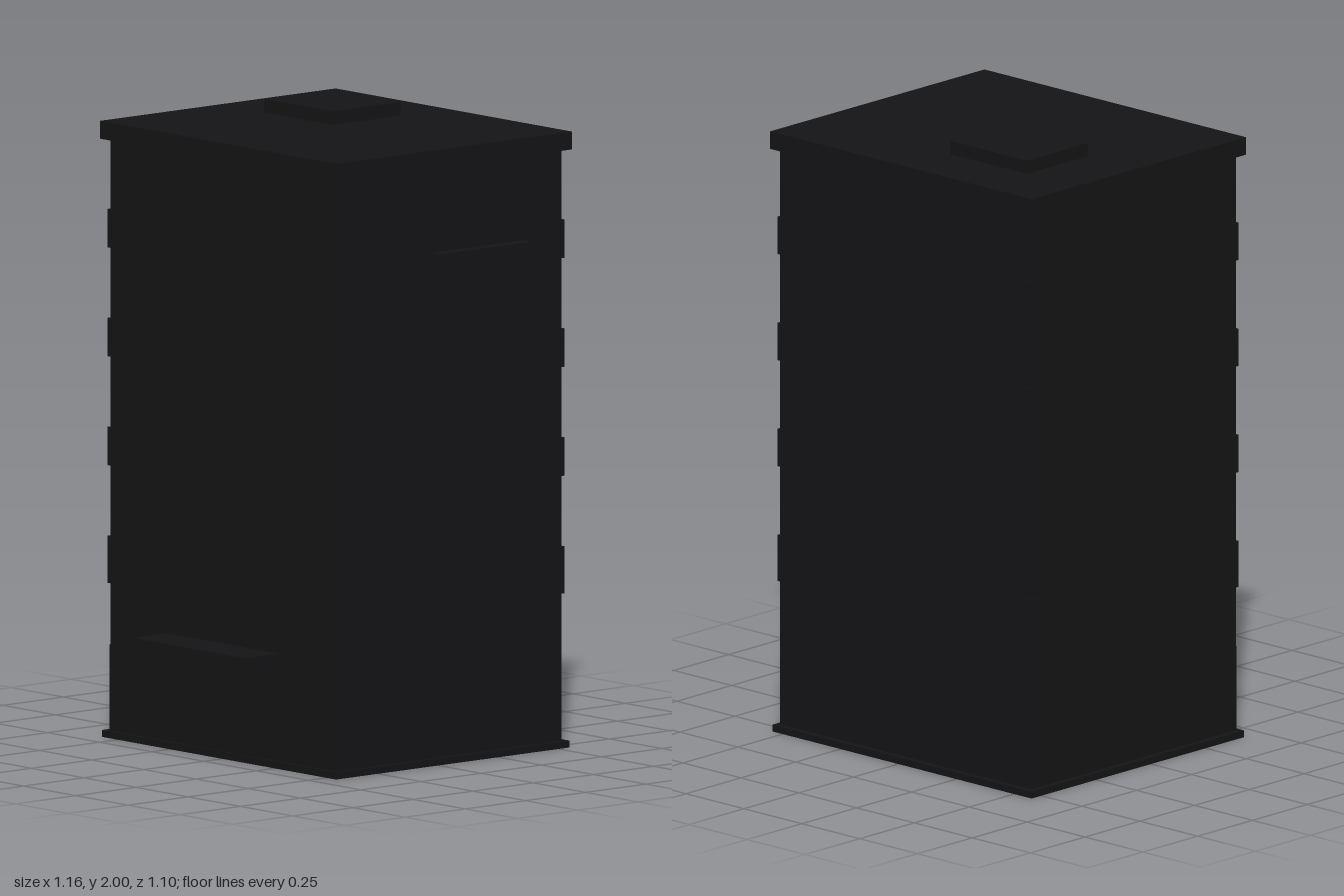
import * as THREE from 'three';

export function createModel() {
  const group = new THREE.Group();
  group.name = 'building';
  const material = new THREE.MeshStandardMaterial({ color: 0x141416 });

  // Box given by its extents along each axis
  function box(name, x0, x1, y0, y1, z0, z1) {
    const mesh = new THREE.Mesh(new THREE.BoxGeometry(x1 - x0, y1 - y0, z1 - z0), material);
    mesh.position.set((x0 + x1) / 2, (y0 + y1) / 2, (z0 + z1) / 2);
    mesh.name = name;
    group.add(mesh);
  }

  // Main walls
  const X0 = -0.555, X1 = 0.53, Z0 = -0.525, Z1 = 0.408;
  box('baseSlab', -0.575, 0.545, 0, 0.022, -0.545, 0.425);
  box('body', X0, X1, 0.022, 1.9, Z0, Z1);
  box('roofSlab', -0.58, 0.55, 1.9, 1.957, -0.55, 0.428);
  box('roofHatch', -0.37, -0.04, 1.957, 2, -0.35, -0.07);

  // Floor bands and the window strips above them, stopping short of the corners
  const out = 0.006, glass = 0.002, inset = 0.014;
  for (let i = 0; i < 4; i++) {
    const top = 0.64 + i * 0.346;
    const bottom = i === 0 ? 0.49 : top - 0.122;
    box('floorBand', X0 - out, X1 + out, bottom, top, Z0 - out, Z1 + out);
    const windowTop = top + 0.224;
    box('windowsFrontBack', X0 + inset, X1 - inset, top, windowTop, Z0 - glass, Z1 + glass);
    box('windowsSides', X0 - glass, X1 + glass, top, windowTop, Z0 + inset, Z1 - inset);
  }

  // Ground floor front with entrance and canopy
  box('shopFront', X0, X1, 0.022, 0.295, Z1, Z1 + 0.004);
  box('entrance', -0.2, 0.18, 0.022, 0.338, Z1, Z1 + 0.008);
  box('canopy', -0.283, 0.255, 0.338, 0.363, Z1, 0.55);

  // Tall sign panel on the left wall
  box('sidePanel', X1, 0.577, 0.105, 1.63, -0.363, 0.025);

  return group;
}
